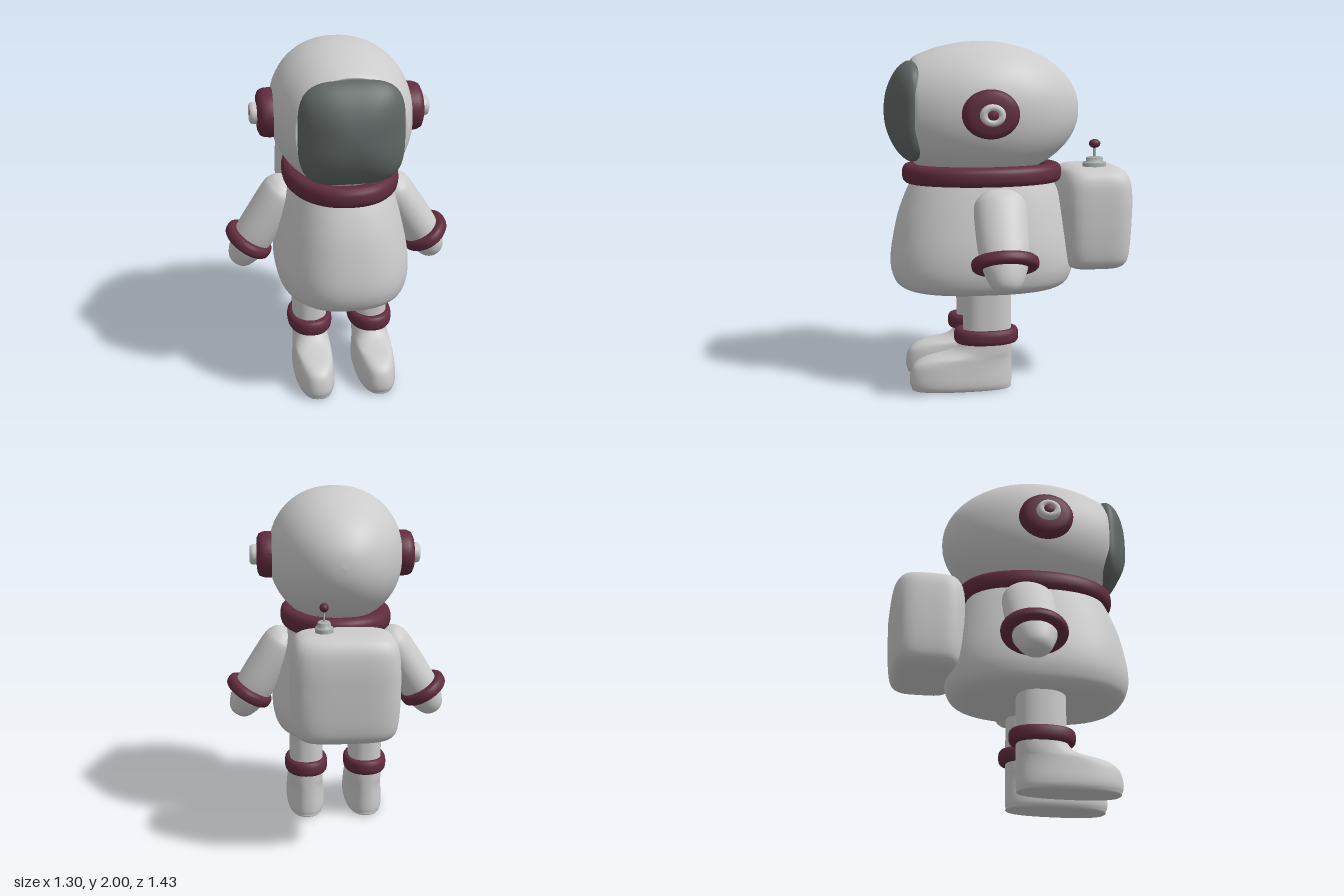
import * as THREE from 'three';

const mat = (color) => new THREE.MeshStandardMaterial({ color, side: THREE.DoubleSide });

// Smooth value between four neighbouring cross-sections.
const spline = (p, q, r, s, t) =>
  q + 0.5 * t * (r - p + t * (2 * p - 5 * q + 4 * r - s + t * (3 * (q - r) + s - p)));

// Lofts superellipse sections [y, halfWidth, halfDepth, zCentre] with exponent n, upwards.
function loft(rings, n = 2, steps = 4, seg = 64) {
  const rows = [];
  const at = (i) => rings[Math.max(0, Math.min(rings.length - 1, i))];
  for (let i = 0; i < rings.length - 1; i++) {
    for (let s = 0; s < steps; s++) {
      rows.push([0, 1, 2, 3].map((k) => spline(
        at(i - 1)[k] ?? 0, at(i)[k] ?? 0, at(i + 1)[k] ?? 0, at(i + 2)[k] ?? 0, s / steps)));
    }
  }
  rows.push(at(rings.length - 1));
  const pos = [], idx = [];
  rows.forEach(([y, a, b, c = 0], i) => {
    for (let j = 0; j < seg; j++) {
      const t = (j / seg) * Math.PI * 2, u = Math.cos(t), v = Math.sin(t);
      const r = (Math.abs(u) ** n + Math.abs(v) ** n) ** (-1 / n);
      pos.push(a * r * u, y, c + b * r * v);
      if (i === rows.length - 1) continue;
      const k = i * seg + j, l = i * seg + ((j + 1) % seg);
      idx.push(k, k + seg, l, l, k + seg, l + seg);
    }
  });
  const g = new THREE.BufferGeometry();
  g.setAttribute('position', new THREE.Float32BufferAttribute(pos, 3));
  g.setIndex(idx);
  g.computeVertexNormals();
  return g;
}

// Closed padded ring with a rounded-square section.
function band(a, b, t, h, n = 2) {
  const rings = [];
  for (let i = 0; i <= 20; i++) {
    const p = -Math.PI + (i / 20) * Math.PI * 2, u = Math.cos(p), v = Math.sin(p);
    const r = (Math.abs(u) ** 3 + Math.abs(v) ** 3) ** (-1 / 3);
    rings.push([h * r * v, a + t * r * u, b + t * r * u]);
  }
  return loft(rings, n, 1);
}

const lathe = (pts) => new THREE.LatheGeometry(pts.map(([x, y]) => new THREE.Vector2(x, y)), 40);

export function createModel() {
  const model = new THREE.Group();
  const grey = mat(0xcccccc), red = mat(0x602c3e), glass = mat(0x5f6765), metal = mat(0xa9b0ae);
  const add = (name, geo, material, x = 0, y = 0, z = 0, parent = model) => {
    const m = new THREE.Mesh(geo, material);
    m.name = name;
    m.position.set(x, y, z);
    parent.add(m);
    return m;
  };

  // Helmet: egg lofted from the back to the visor rim
  const helmet = [];
  for (let i = 0; i <= 8; i++) {
    const t = (i / 8) * Math.PI / 2;
    helmet.push([0.15 - 0.57 * Math.cos(t), 0.393 * Math.sin(t), 0.393 * Math.sin(t)]);
  }
  for (const z of [0.27, 0.38, 0.46, 0.52]) {
    const r = 0.393 * Math.sqrt(1 - ((z - 0.15) / 0.62) ** 2);
    helmet.push([z, r, r]);
  }
  helmet.push([0.543, 0.302, 0.3], [0.55, 0.291, 0.291], [0.54, 0.279, 0.279], [0.5, 0.265, 0.265]);
  add('helmet', loft(helmet, 2.15).rotateX(Math.PI / 2), grey, 0, 1.607, 0);

  // Visor: bulging rounded square
  const visor = [[0.51, 0.27], [0.54, 0.282], [0.565, 0.284], [0.595, 0.27], [0.63, 0.238],
    [0.665, 0.185], [0.692, 0.12], [0.706, 0.055], [0.71, 0]].map(([z, r]) => [z, r, r]);
  add('visor', loft(visor, 3.6).rotateX(Math.PI / 2), glass, 0, 1.605, 0);

  // Torso and collar
  add('torso', loft([[0.545, 0, 0, 0.15], [0.55, 0.15, 0.25, 0.15], [0.566, 0.27, 0.41, 0.15],
    [0.6, 0.345, 0.49, 0.15], [0.66, 0.372, 0.525, 0.15], [0.74, 0.38, 0.535, 0.15],
    [0.85, 0.37, 0.522, 0.15], [1, 0.338, 0.49, 0.15], [1.12, 0.308, 0.45, 0.147],
    [1.2, 0.285, 0.415, 0.145], [1.25, 0.27, 0.4, 0.145]], 2.5), grey);
  add('collar', band(0.27, 0.41, 0.055, 0.056, 2.2), red, 0, 1.245, 0.145);

  for (const s of [1, -1]) {
    const side = s > 0 ? 'left' : 'right';

    // Earpiece: padded disc, knob and core
    const ear = new THREE.Group();
    ear.name = side + 'Earpiece';
    ear.position.set(0, 1.605, 0.145);
    ear.rotation.z = -s * Math.PI / 2;
    ear.scale.z = 1.17;
    model.add(ear);
    add('earDisc', lathe([[0.12, 0.3], [0.132, 0.35], [0.136, 0.39], [0.133, 0.425], [0.122, 0.448],
      [0.1, 0.458], [0.06, 0.462], [0, 0.462]]), red, 0, 0, 0, ear);
    add('earKnob', lathe([[0.06, 0.44], [0.06, 0.48], [0.056, 0.495], [0.045, 0.502],
      [0.032, 0.5], [0.026, 0.49], [0.026, 0.46]]), grey, 0, 0, 0, ear);
    add('earCore', lathe([[0.026, 0.46], [0.026, 0.494], [0.018, 0.499], [0, 0.5]]), red, 0, 0, 0, ear);

    // Arm with mitten end and cuff
    const arm = new THREE.Group();
    arm.name = side + 'Arm';
    arm.position.set(s * 0.34, 1.07, s > 0 ? 0.085 : 0.045);
    arm.rotation.z = s * 0.554;
    model.add(arm);
    add('sleeve', loft([[-0.49, 0, 0], [-0.482, 0.04, 0.045], [-0.455, 0.07, 0.08],
      [-0.4, 0.093, 0.107], [-0.32, 0.11, 0.132], [-0.2, 0.114, 0.146], [0, 0.11, 0.15],
      [0.06, 0.096, 0.13], [0.1, 0.063, 0.085], [0.118, 0, 0]], 2.1, 4, 40), grey, 0, 0, 0, arm);
    add('wristCuff', band(0.11, 0.152, 0.035, 0.034), red, s * 0.01, -0.325, 0, arm);

    // Leg and boot in one piece: [y, halfWidth, heel z, toe z]
    const leg = [[0, 0, 0.29, 0.29], [0, 0.088, 0.03, 0.55], [0.02, 0.111, 0.004, 0.584],
      [0.06, 0.116, 0, 0.594], [0.12, 0.112, 0, 0.585], [0.16, 0.109, 0, 0.56], [0.19, 0.107, 0, 0.5],
      [0.21, 0.104, 0, 0.4], [0.235, 0.102, 0, 0.33], [0.28, 0.1, 0, 0.288], [0.35, 0.1, 0.002, 0.282],
      [0.6, 0.1, 0.002, 0.282]].map(([y, a, h, t]) => [y, a, (t - h) / 2, (t + h) / 2]);
    add(side + 'Leg', loft(leg, 2.5, 4, 48), grey, s * 0.18);
    add(side + 'AnkleCuff', band(0.1, 0.157, 0.03, 0.043, 2.2), red, s * 0.18, 0.317, 0.147);
  }

  // Backpack: soft rounded box
  add('backpack', loft([[0.68, 0, 0], [0.682, 0.15, 0.1], [0.692, 0.225, 0.15], [0.725, 0.27, 0.185],
    [0.79, 0.289, 0.2], [0.9, 0.298, 0.208], [1.0, 0.3, 0.212], [1.1, 0.298, 0.214],
    [1.19, 0.289, 0.205], [1.245, 0.265, 0.18], [1.27, 0.22, 0.145], [1.28, 0.14, 0.09], [1.281, 0, 0]],
  4.5), grey, 0.005, 0, -0.502);

  // Antenna: stepped base, rod and ball
  const antenna = new THREE.Group();
  antenna.name = 'antenna';
  antenna.position.set(0.115, 0, -0.5);
  antenna.scale.x = 0.72;
  model.add(antenna);
  add('antennaBase', lathe([[0.07, 1.25], [0.07, 1.298], [0.066, 1.306], [0.05, 1.309], [0.05, 1.328],
    [0.044, 1.335], [0, 1.336]]), metal, 0, 0, 0, antenna);
  add('antennaRod', new THREE.CylinderGeometry(0.008, 0.008, 0.1, 12), metal, 0, 1.365, 0, antenna);
  add('antennaBall', new THREE.SphereGeometry(0.034, 24, 16).scale(1, 0.75, 1), red, 0, 1.412, 0, antenna);

  return model;
}
